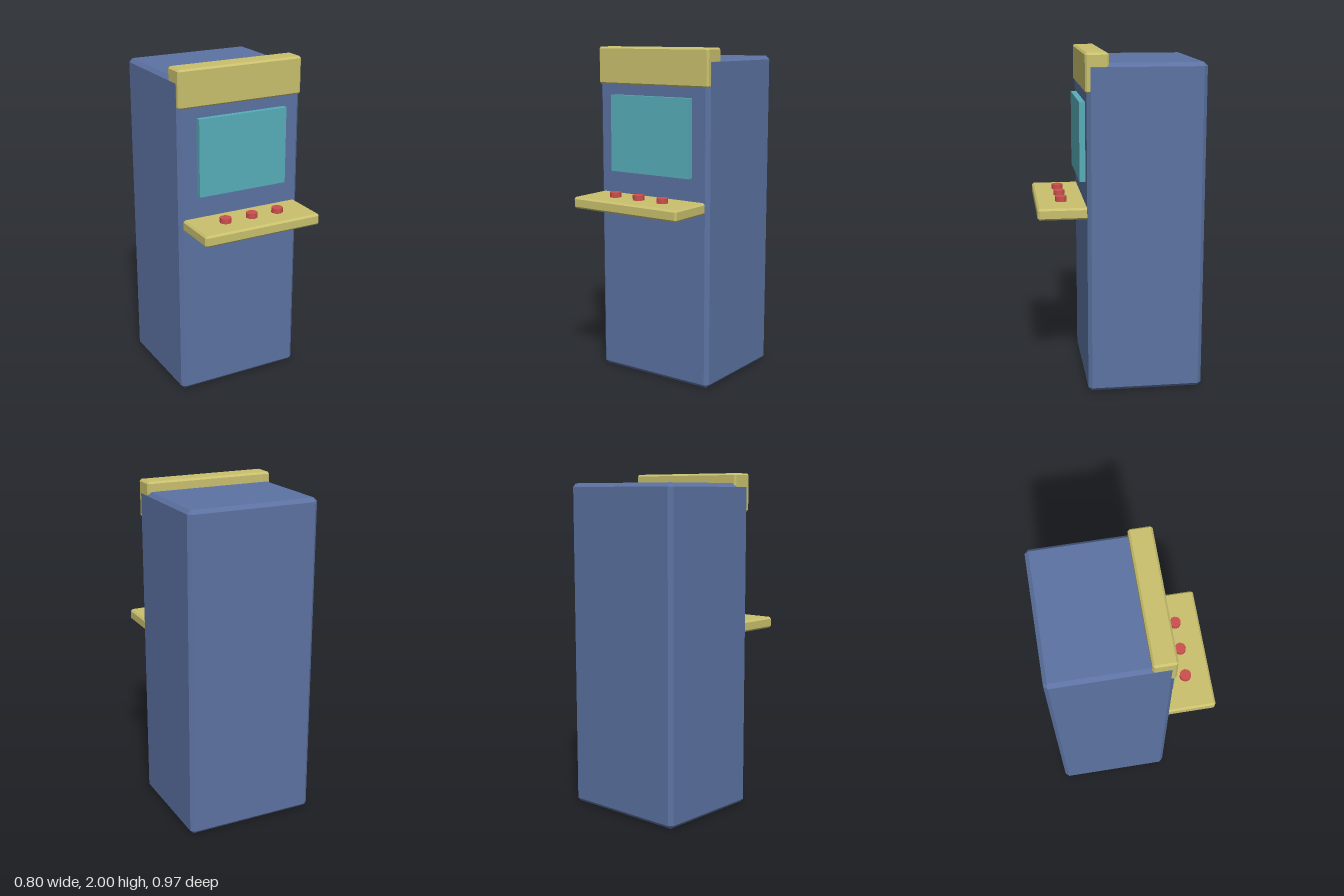
import * as THREE from 'three';
import { ConvexGeometry } from 'three/addons/geometries/ConvexGeometry.js';

const material = (name, color) => {
  const m = new THREE.MeshStandardMaterial({ color, flatShading: true });
  m.name = name;
  return m;
};

// Box between two corners with every edge cut by a single flat bevel
function bevelBox(min, max, bevel) {
  const centre = new THREE.Vector3().addVectors(min, max).multiplyScalar(0.5);
  const half = new THREE.Vector3().subVectors(max, min).multiplyScalar(0.5);
  const points = [];
  for (const sx of [-1, 1]) for (const sy of [-1, 1]) for (const sz of [-1, 1]) {
    for (const face of [0, 1, 2]) {
      const inset = [0, 1, 2].map((axis) => (axis === face ? 0 : bevel));
      points.push(new THREE.Vector3(
        sx * (half.x - inset[0]),
        sy * (half.y - inset[1]),
        sz * (half.z - inset[2]),
      ));
    }
  }
  return new ConvexGeometry(points).translate(centre.x, centre.y, centre.z);
}

export function createModel() {
  const group = new THREE.Group();
  group.name = 'arcadeCabinet';
  const blue = material('cabinetBlue', 0x5c72a2);
  const yellow = material('trimYellow', 0xc9c06e);
  const teal = material('screenTeal', 0x57adb9);
  const red = material('buttonRed', 0xcb504e);

  const add = (name, geometry, mat) => {
    const mesh = new THREE.Mesh(geometry, mat);
    mesh.name = name;
    group.add(mesh);
    return mesh;
  };
  const v = (x, y, z) => new THREE.Vector3(x, y, z);

  // Cabinet and the sign box over its front top edge
  add('cabinet', bevelBox(v(-0.398, 0, -0.483), v(0.398, 1.943, 0.2), 0.022), blue);
  add('marquee', bevelBox(v(-0.397, 1.777, 0.075), v(0.397, 2, 0.209), 0.011), yellow);

  // Screen standing proud of the front
  add('screen', new THREE.BoxGeometry(0.568, 0.46, 0.06), teal).position.set(0, 1.488, 0.204);

  // Control shelf and its three buttons
  add('controlShelf', bevelBox(v(-0.375, 1.055, 0.14), v(0.375, 1.123, 0.483), 0.011), yellow);
  for (const x of [-0.172, 0, 0.172]) {
    add('button', new THREE.CylinderGeometry(0.034, 0.034, 0.05, 12), red).position.set(x, 1.128, 0.335);
  }
  return group;
}
